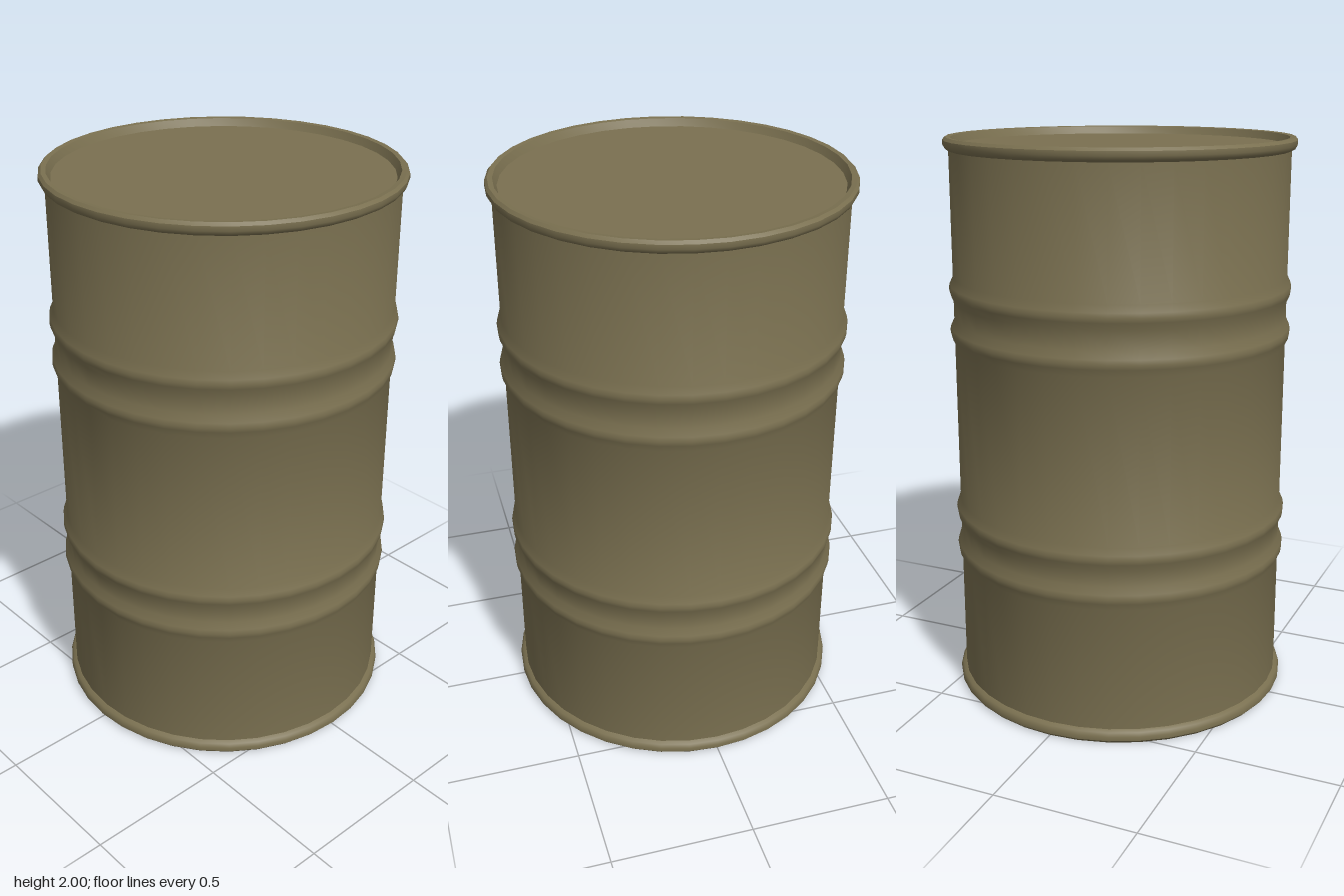
import * as THREE from 'three';
import { toCreasedNormals } from 'three/addons/utils/BufferGeometryUtils.js';

const SEGMENTS = 36;
const BODY_R = 0.59;

export function createModel() {
  const group = new THREE.Group();
  group.name = 'drum';
  const olive = new THREE.MeshStandardMaterial({ color: 0x7a7050 });
  olive.name = 'olive paint';

  // Revolve an [radius, height] profile, listed from bottom to top on the outside
  const addLathe = (name, profile, crease = 0.6) => {
    const points = profile.map(([r, y]) => new THREE.Vector2(r, y));
    const mesh = new THREE.Mesh(
      toCreasedNormals(new THREE.LatheGeometry(points, SEGMENTS), crease), olive);
    mesh.name = name;
    group.add(mesh);
  };

  // Side wall with two pairs of rolled hoops
  const wall = [[BODY_R, 0.03]];
  for (const y of [0.53, 0.67, 1.33, 1.48]) {
    wall.push([BODY_R, y - 0.042], [0.602, y - 0.016], [0.605, y], [0.602, y + 0.016], [BODY_R, y + 0.042]);
  }
  wall.push([BODY_R, 1.97]);
  addLathe('sideWall', wall, 0.9);

  // Rolled rims and the slightly sunken end panels
  const end = [
    [BODY_R, 1.955], [0.603, 1.962], [0.61, 1.975], [0.609, 1.99],
    [0.6, 2], [0.583, 1.998], [0.57, 1.972], [0, 1.972],
  ];
  addLathe('topRimAndLid', end);
  addLathe('bottomRimAndBase', end.map(([r, y]) => [r, 2 - y]).reverse());

  return group;
}
